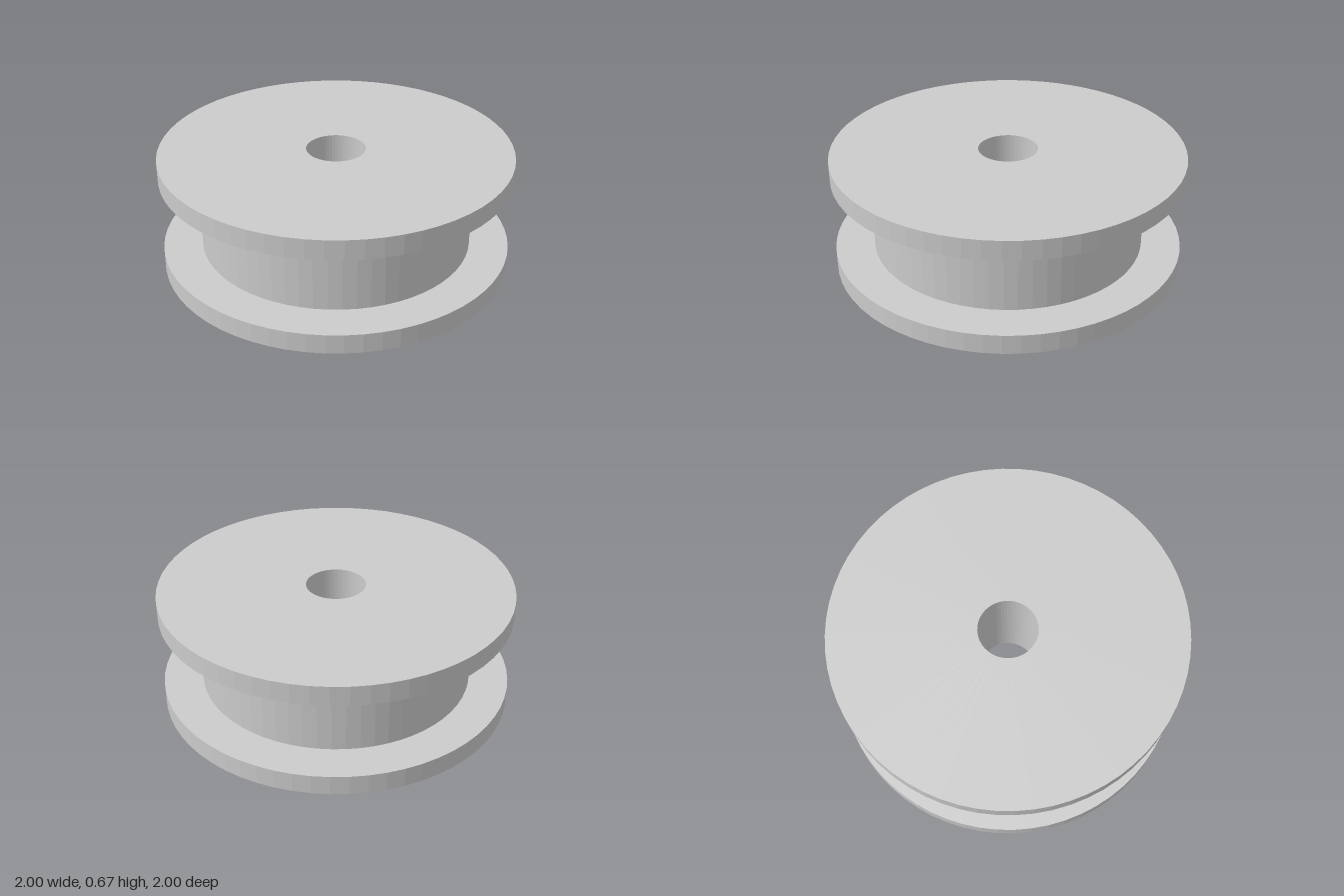
import * as THREE from 'three';

const SEGMENTS = 64;
const RIM = 1, DRUM = 0.777, BORE = 0.168;
const HEIGHT = 0.67, FLANGE = 0.113;

export function createModel() {
  const spool = new THREE.Group();
  spool.name = 'spool';
  const material = new THREE.MeshStandardMaterial({ color: 0xcccccc, flatShading: true });

  // Turns a [radius, height] profile around the y axis; counterclockwise profiles face outward
  function turn(name, profile) {
    const points = profile.map(([r, y]) => new THREE.Vector2(r, y));
    const mesh = new THREE.Mesh(new THREE.LatheGeometry(points, SEGMENTS), material);
    mesh.name = name;
    spool.add(mesh);
  }

  const top = HEIGHT - FLANGE;

  // Lower and upper discs, open where they meet the drum and the bore
  turn('lowerFlange', [[BORE, 0], [RIM, 0], [RIM, FLANGE], [DRUM, FLANGE]]);
  turn('upperFlange', [[DRUM, top], [RIM, top], [RIM, HEIGHT], [BORE, HEIGHT]]);

  // Core between the discs
  turn('drum', [[DRUM, FLANGE], [DRUM, top]]);

  // Axle hole through the whole spool, facing inward
  turn('bore', [[BORE, HEIGHT], [BORE, 0]]);

  return spool;
}
